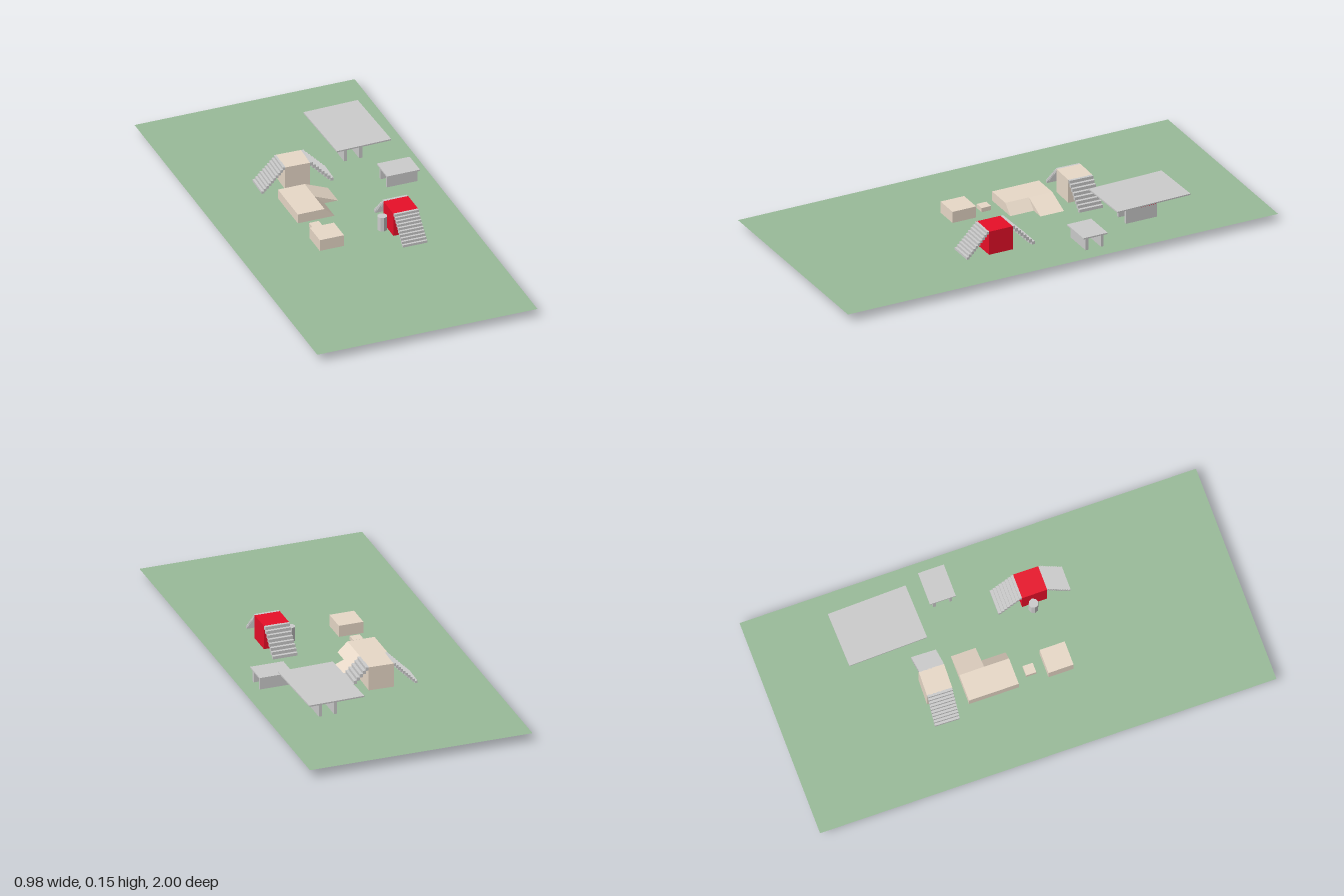
import * as THREE from 'three';

const GROUND = 0.037;
const mat = (color) => new THREE.MeshStandardMaterial({ color, flatShading: true });
const grey = mat(0xcccccc), beige = mat(0xe8d9c8), red = mat(0xe80f28), green = mat(0x99bb99);
green.side = THREE.DoubleSide;

// Box given by its extents on each axis
function box(parent, name, material, [x0, x1], [y0, y1], [z0, z1]) {
  const mesh = new THREE.Mesh(new THREE.BoxGeometry(x1 - x0, y1 - y0, z1 - z0), material);
  mesh.position.set((x0 + x1) / 2, (y0 + y1) / 2, (z0 + z1) / 2);
  mesh.name = name;
  parent.add(mesh);
  return mesh;
}

// Flight of block steps going down from the tower along side * x
function stairs(name, side, count) {
  const flight = new THREE.Group();
  flight.name = name;
  const start = 0.054, end = 0.158, top = 0.143;
  const run = (end - start) / count, rise = (top - GROUND) / count;
  for (let i = 0; i < count; i++) {
    const a = side * (start + i * run - 0.001), b = side * (start + (i + 1) * run);
    const y = top - i * rise;
    box(flight, 'step', grey, [Math.min(a, b), Math.max(a, b)], [y - rise * 1.15, y], [-0.054, 0.054]);
  }
  return flight;
}

// Square tower with a flight of steps on two opposite sides
function stairTower(name, material, bottom) {
  const tower = new THREE.Group();
  tower.name = name;
  box(tower, 'towerBlock', material, [-0.055, 0.055], [bottom, 0.143], [-0.055, 0.055]);
  tower.add(stairs('coarseStairs', 1, 8), stairs('fineStairs', -1, 10));
  return tower;
}

// Wedge sloping down towards +x
function ramp(name, x0, x1, top, z0, z1) {
  const s = new THREE.Shape();
  s.moveTo(x0, 0.035);
  s.lineTo(x1, 0.035);
  s.lineTo(x0, top);
  s.closePath();
  const mesh = new THREE.Mesh(new THREE.ExtrudeGeometry(s, { depth: z1 - z0, bevelEnabled: false }), beige);
  mesh.position.z = z0;
  mesh.name = name;
  return mesh;
}

export function createModel() {
  const model = new THREE.Group();
  model.name = 'obstaclePark';

  // Ground sheet
  const ground = new THREE.Mesh(new THREE.PlaneGeometry(0.98, 2), green);
  ground.rotation.x = -Math.PI / 2;
  ground.position.y = GROUND;
  ground.name = 'ground';
  model.add(ground);

  // Two stair towers
  const rear = stairTower('rearTower', beige, GROUND);
  rear.position.set(-0.054, 0, -0.337);
  rear.rotation.y = -0.03;
  const front = stairTower('redTower', red, 0.028);
  front.position.set(0.217, 0, 0.175);
  front.rotation.y = Math.PI / 2;
  model.add(rear, front);

  // Platform with two ramps
  box(model, 'platform', beige, [-0.165, -0.046], [0.035, 0.079], [-0.23, -0.012]);
  model.add(ramp('longRamp', -0.046, 0.063, 0.079, -0.23, -0.121));
  model.add(ramp('steepRamp', -0.046, 0, 0.079, -0.121, -0.012));

  // Loose blocks
  box(model, 'largeBlock', beige, [-0.165, -0.057], [0.027, 0.088], [0.118, 0.228]);
  box(model, 'smallBlock', beige, [-0.133, -0.089], [GROUND, 0.056], [0.032, 0.076]);

  // Barrel
  const barrel = new THREE.Mesh(new THREE.CylinderGeometry(0.021, 0.021, 0.065, 8), grey);
  barrel.position.set(0.14, 0.0685, 0.162);
  barrel.name = 'barrel';
  model.add(barrel);

  // Small table on two panel legs
  const small = new THREE.Group();
  small.name = 'smallTable';
  box(small, 'tableTop', grey, [0.28, 0.426], [0.092, 0.098], [-0.241, -0.128]);
  for (const z of [-0.148, -0.219])
    box(small, 'panelLeg', grey, [0.285, 0.42], [0, 0.092], [z - 0.006, z + 0.006]);
  model.add(small);

  // Large shelter: panel legs, red board and a wide roof
  const shelter = new THREE.Group();
  shelter.name = 'shelter';
  for (const x of [0.207, 0.274])
    box(shelter, 'panelLeg', grey, [x - 0.007, x + 0.007], [0, 0.097], [-0.547, -0.403]);
  box(shelter, 'board', red, [0.2, 0.281], [0.097, 0.1], [-0.547, -0.403]);
  const roof = box(shelter, 'roof', grey, [0.125, 0.369], [0.148, 0.154], [-0.655, -0.311]);
  roof.rotation.y = 0.028;
  model.add(shelter);

  return model;
}
